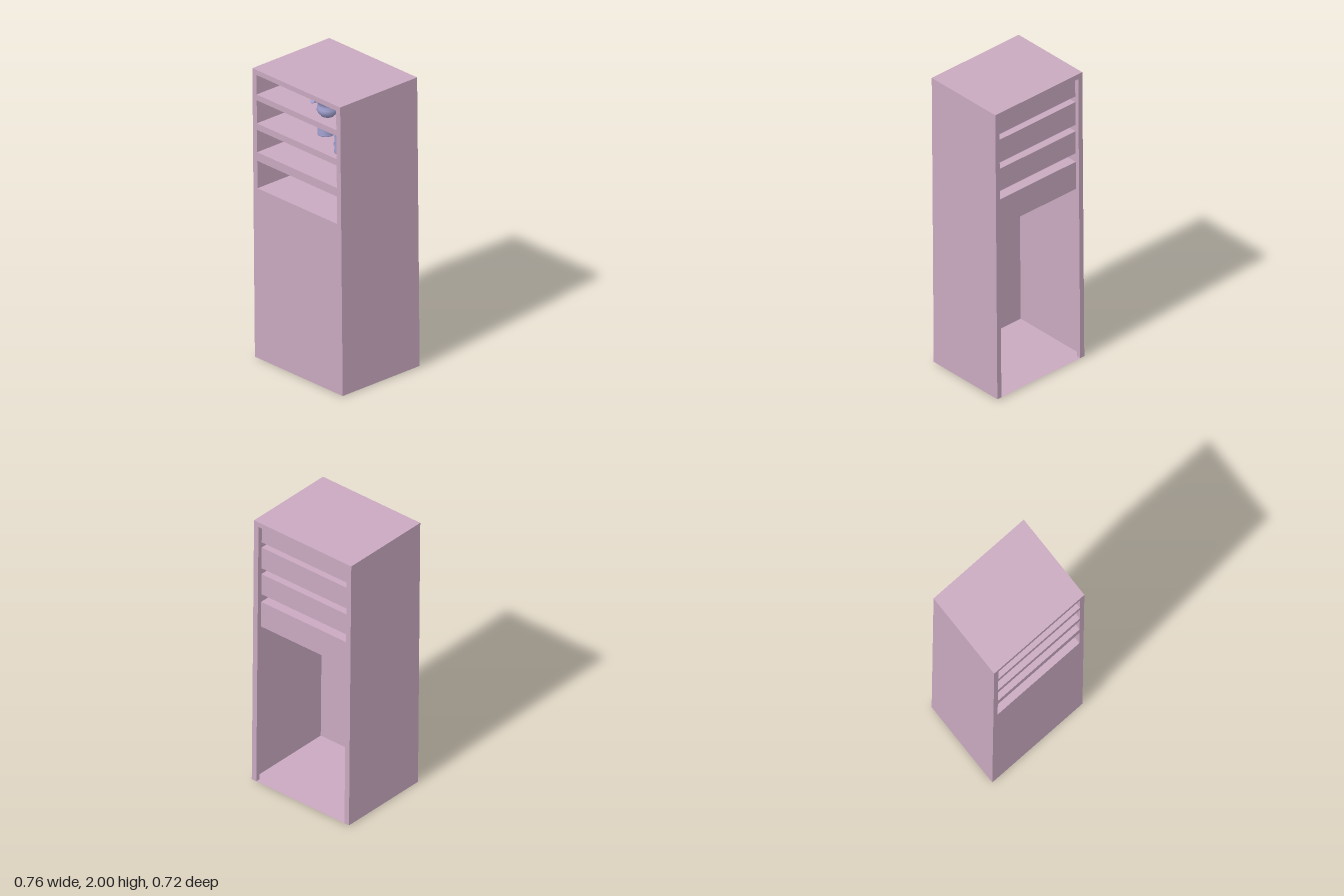
import * as THREE from 'three';

const W = 0.375, D = 0.307, LIP = 0.035, SLOT_BACK = -0.277;
// y ranges of the four pigeonholes, top to bottom
const SLOTS = [[1.83, 1.965], [1.63, 1.79], [1.43, 1.585], [1.18, 1.37]];

// slight skew of the whole cabinet
const SKEW = new THREE.Matrix4().set(
  1, 0, 0.0155, 0,
  0, 0.997, -0.01, 0.003,
  -0.115, 0.01, 1, -0.01,
  0, 0, 0, 1);

const cabinetMat = new THREE.MeshStandardMaterial({ color: 0xc9a9c0, side: THREE.DoubleSide });
const cupMat = new THREE.MeshStandardMaterial({ color: 0xa0a0d0, side: THREE.DoubleSide });

// thin sheet centred at (x, y, z); axis is the direction it faces
function sheet(parent, name, axis, w, h, x, y, z) {
  const g = new THREE.PlaneGeometry(w, h);
  if (axis === 'x') g.rotateY(Math.PI / 2);
  if (axis === 'y') g.rotateX(-Math.PI / 2);
  g.translate(x, y, z).applyMatrix4(SKEW);
  const m = new THREE.Mesh(g, cabinetMat);
  m.name = name;
  parent.add(m);
}

function rectPath(P, x0, y0, x1, y1) {
  const p = new P();
  p.moveTo(x0, y0).lineTo(x1, y0).lineTo(x1, y1).lineTo(x0, y1).closePath();
  return p;
}

function makeCabinet() {
  const cabinet = new THREE.Group();
  cabinet.name = 'cabinet';
  // outer shell, open at the back
  sheet(cabinet, 'topPanel', 'y', 2 * W, 2 * D, 0, 2, 0);
  sheet(cabinet, 'floorPanel', 'y', 2 * W, 2 * D, 0, 0, 0);
  for (const s of [-1, 1]) {
    sheet(cabinet, 'sidePanel', 'x', 2 * D, 2, s * W, 1, 0);
    sheet(cabinet, 'backSideLip', 'z', LIP, 2, s * (W - LIP / 2), 1, -D);
    sheet(cabinet, 'backLipReturn', 'x', 0.03, 2, s * (W - LIP), 1, -D + 0.015);
  }
  sheet(cabinet, 'backTopLip', 'z', 2 * (W - LIP), LIP, 0, 2 - LIP / 2, -D);

  // front panel with pigeonhole openings
  const front = rectPath(THREE.Shape, -W, 0, W, 2);
  const hx = W - LIP;
  for (const [y0, y1] of SLOTS) front.holes.push(rectPath(THREE.Path, -hx, y0, hx, y1));
  const panel = new THREE.Mesh(new THREE.ShapeGeometry(front).translate(0, 0, D).applyMatrix4(SKEW), cabinetMat);
  panel.name = 'frontPanel';
  cabinet.add(panel);

  // box behind each opening
  const depth = D - SLOT_BACK, zc = (D + SLOT_BACK) / 2;
  for (const [y0, y1] of SLOTS) {
    const yc = (y0 + y1) / 2, h = y1 - y0;
    const slot = new THREE.Group();
    slot.name = 'pigeonhole';
    sheet(slot, 'shelf', 'y', 2 * hx, depth, 0, y0, zc);
    sheet(slot, 'ceiling', 'y', 2 * hx, depth, 0, y1, zc);
    sheet(slot, 'slotBack', 'z', 2 * hx, h, 0, yc, SLOT_BACK);
    for (const s of [-1, 1]) sheet(slot, 'slotSide', 'x', depth, h, s * hx, yc, zc);
    cabinet.add(slot);
  }
  return cabinet;
}

// hollow cup turned from a profile, with a curled handle on +x
function makeCup(name, profile, handle) {
  const g = new THREE.Group();
  g.name = name;
  const body = new THREE.Mesh(
    new THREE.LatheGeometry(profile.map(p => new THREE.Vector2(...p)), 32), cupMat);
  body.name = 'cupBody';
  const curve = new THREE.CatmullRomCurve3(handle.map(([x, y]) => new THREE.Vector3(x, y, 0)));
  const grip = new THREE.Mesh(new THREE.TubeGeometry(curve, 28, 0.0045, 8), cupMat);
  grip.name = 'cupHandle';
  g.add(body, grip);
  return g;
}

const makeMug = () => makeCup('mug',
  [[0, 0.004], [0.05, 0.004], [0.053, 0], [0.053, 0.006], [0.051, 0.012], [0.051, 0.115], [0.053, 0.125],
    [0.058, 0.136], [0.055, 0.136], [0.049, 0.122], [0.047, 0.012], [0, 0.01]],
  [[0.05, 0.1], [0.062, 0.125], [0.08, 0.134], [0.09, 0.118], [0.084, 0.09], [0.07, 0.055],
    [0.063, 0.022], [0.072, 0.008], [0.082, 0.018], [0.078, 0.03]]);

const makeTeacup = () => makeCup('teacup',
  [[0, 0.004], [0.042, 0], [0.045, 0.006], [0.058, 0.018], [0.067, 0.038], [0.066, 0.055], [0.06, 0.072],
    [0.062, 0.088], [0.073, 0.102], [0.069, 0.102], [0.057, 0.086], [0.056, 0.07], [0.062, 0.05],
    [0.054, 0.022], [0.04, 0.01], [0, 0.009]],
  [[0.06, 0.062], [0.075, 0.074], [0.097, 0.084], [0.113, 0.076], [0.117, 0.055], [0.111, 0.032],
    [0.103, 0.018], [0.107, 0.008], [0.114, 0.014]]);

export function createModel() {
  const model = new THREE.Group();
  model.name = 'cupCabinet';
  model.add(makeCabinet());

  // cups on the shelves: [maker, x, shelf, distance behind front, handle turn]
  const cups = [
    [makeTeacup, -0.2, 0, 0.36, Math.PI / 2],
    [makeTeacup, 0.148, 0, 0.11, 0],
    [makeMug, -0.203, 1, 0.33, 0],
    [makeMug, -0.06, 1, 0.37, Math.PI / 2],
    [makeMug, 0.035, 1, 0.2, Math.PI],
    [makeMug, 0.285, 1, 0.1, Math.PI],
    [makeMug, -0.163, 2, 0.3, Math.PI],
  ];
  for (const [make, x, shelf, d, turn] of cups) {
    const cup = make();
    cup.position.set(x, SLOTS[shelf][0], D - d).applyMatrix4(SKEW);
    cup.rotation.y = turn;
    model.add(cup);
  }

  // teacup lying on its side
  const tipped = makeTeacup();
  tipped.name = 'tippedTeacup';
  const dir = new THREE.Vector3(-0.45, 0.25, 0.85).normalize();
  tipped.quaternion.setFromUnitVectors(new THREE.Vector3(0, 1, 0), dir);
  tipped.position.set(0.005, 1.896, D - 0.2).applyMatrix4(SKEW).addScaledVector(dir, -0.05);
  model.add(tipped);
  return model;
}
